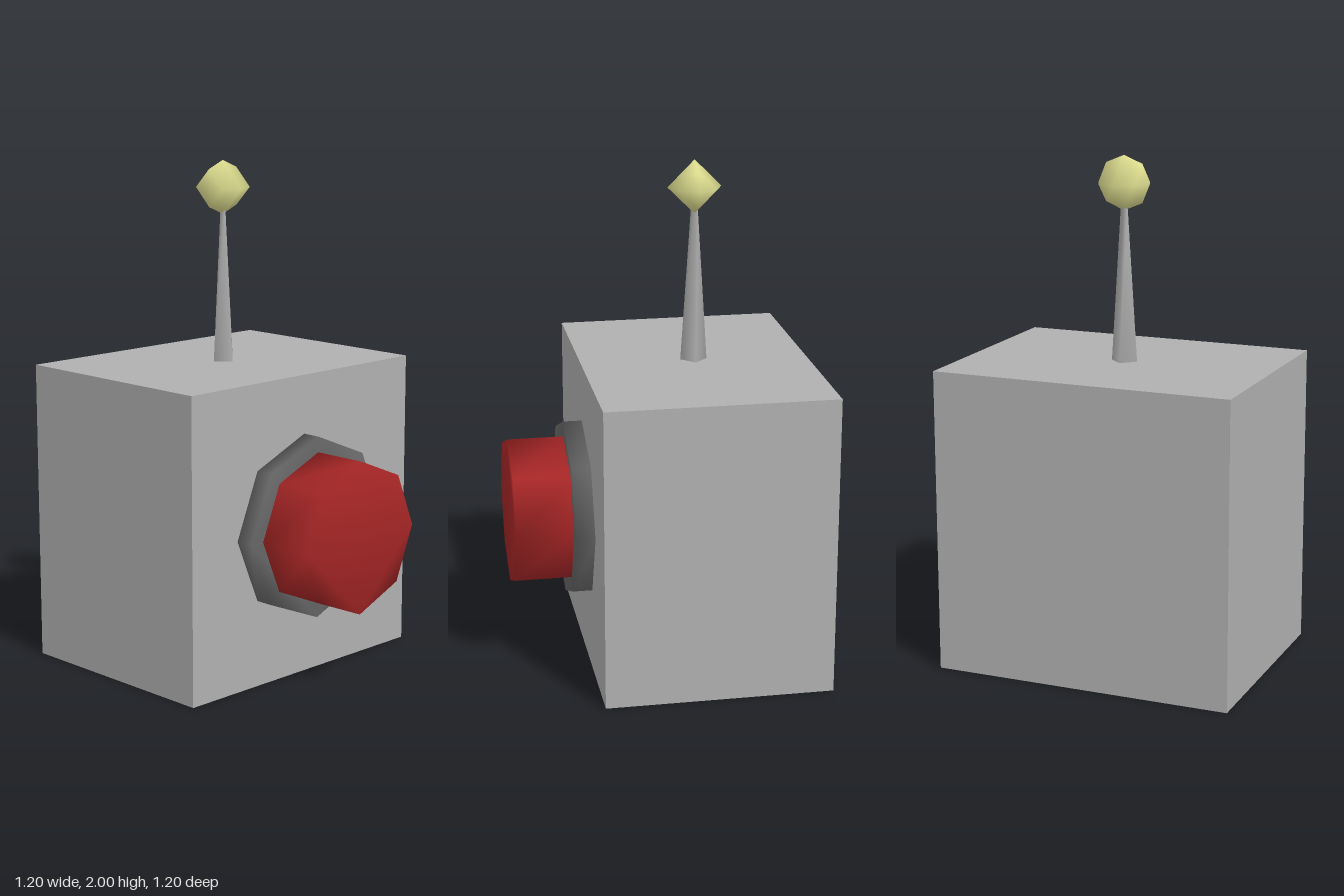
import * as THREE from 'three';
import { mergeVertices } from 'three/addons/utils/BufferGeometryUtils.js';

const material = (name, color) => {
  const m = new THREE.MeshStandardMaterial({ color });
  m.name = name;
  return m;
};

// Share corners so that shading runs smoothly over the low-poly edges
function smooth(geometry) {
  geometry.deleteAttribute('normal');
  geometry.deleteAttribute('uv');
  const merged = mergeVertices(geometry, 1e-4);
  merged.computeVertexNormals();
  return merged;
}

// Eight-sided disc lying along +x, starting at the origin
function octagonDisc(radius, depth) {
  const points = [];
  for (let i = 0; i < 8; i++) {
    const a = (i * Math.PI) / 4;
    points.push(new THREE.Vector2(radius * Math.cos(a), radius * Math.sin(a)));
  }
  const geometry = new THREE.ExtrudeGeometry(new THREE.Shape(points), { depth, bevelEnabled: false });
  return smooth(geometry.rotateY(Math.PI / 2));
}

export function createModel() {
  const group = new THREE.Group();
  group.name = 'buttonBox';

  const lightGrey = material('lightGrey', 0xb0b0b0);
  const darkGrey = material('darkGrey', 0x666666);
  const red = material('red', 0xa82626);
  const yellow = material('paleYellow', 0xdede90);

  const add = (name, geometry, mat, x, y, z = 0) => {
    const mesh = new THREE.Mesh(geometry, mat);
    mesh.name = name;
    mesh.position.set(x, y, z);
    group.add(mesh);
  };

  // Housing
  add('housing', new THREE.BoxGeometry(0.9, 1.2, 1.2), lightGrey, -0.15, 0.6);

  // Button and its collar on the left side
  add('buttonCollar', octagonDisc(0.364, 0.075), darkGrey, 0.3, 0.603);
  add('button', octagonDisc(0.302, 0.225), red, 0.375, 0.603);

  // Tapered four-sided antenna with a faceted ball, poles along z
  add('antenna', smooth(new THREE.CylinderGeometry(0.013, 0.053, 0.62, 4)), lightGrey, -0.15, 1.51);
  add('antennaBall', new THREE.SphereGeometry(0.106, 4, 4).rotateX(Math.PI / 2), yellow, -0.15, 1.894);

  return group;
}
